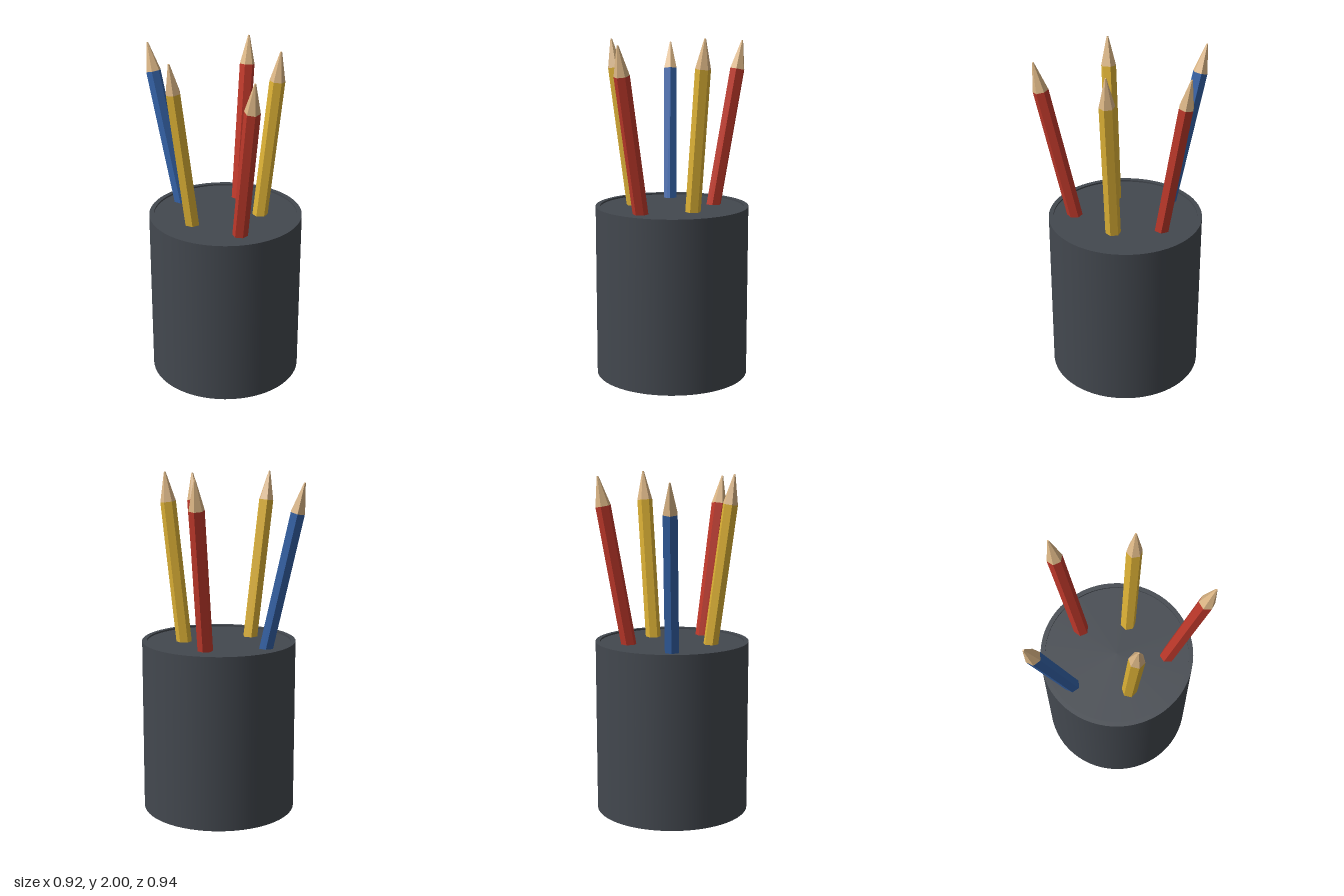
import * as THREE from 'three';

const mat = (name, color, flatShading = false) =>
  Object.assign(new THREE.MeshStandardMaterial({ color, flatShading }), { name });

function add(parent, name, geometry, material) {
  const mesh = new THREE.Mesh(geometry, material);
  mesh.name = name;
  parent.add(mesh);
  return mesh;
}

// Hexagonal pencil whose axis runs through base (at the cup rim) up to its tip
function makePencil(name, base, tip, paint, wood) {
  const radius = 0.045, coneLength = 0.17, sunk = 0.85;
  const start = new THREE.Vector3(...base);
  const end = new THREE.Vector3(...tip);
  const dir = end.clone().sub(start);
  const length = dir.length() + sunk;
  const bodyLength = length - coneLength;
  dir.normalize();

  const pencil = new THREE.Group();
  pencil.name = name;
  const body = new THREE.CylinderGeometry(radius, radius, bodyLength, 6);
  add(pencil, 'paintedBody', body.translate(0, bodyLength / 2, 0), paint);
  const cone = new THREE.CylinderGeometry(0.005, radius, coneLength, 6);
  add(pencil, 'sharpenedTip', cone.translate(0, bodyLength + coneLength / 2, 0), wood);

  // Turn one edge towards the lean, then tilt
  const lean = new THREE.Quaternion().setFromUnitVectors(new THREE.Vector3(0, 1, 0), dir);
  const turn = new THREE.Quaternion().setFromAxisAngle(new THREE.Vector3(0, 1, 0), Math.atan2(dir.x, dir.z));
  pencil.quaternion.copy(lean).multiply(turn);
  pencil.position.copy(end).addScaledVector(dir, -length);
  return pencil;
}

export function createModel() {
  const model = new THREE.Group();
  model.name = 'pencilCup';

  const charcoal = mat('charcoal', 0x43484f);
  const wood = mat('bareWood', 0xdeb887, true);
  const red = mat('redPaint', 0xc0392b, true);
  const yellow = mat('yellowPaint', 0xdfb336, true);
  const blue = mat('bluePaint', 0x3563a8, true);

  // Cup: wall, base, narrow rim and slightly sunken top
  const cup = new THREE.Group();
  cup.name = 'cup';
  cup.position.set(0.004, 0, -0.018);
  const R = 0.452, inner = 0.425, H = 1.02, topY = 1.01, N = 64;
  add(cup, 'outerWall', new THREE.CylinderGeometry(R, R, H, N, 1, true).translate(0, H / 2, 0), charcoal);
  add(cup, 'base', new THREE.CircleGeometry(R, N).rotateX(Math.PI / 2), charcoal);
  add(cup, 'rim', new THREE.RingGeometry(inner, R, N).rotateX(-Math.PI / 2).translate(0, H, 0), charcoal);
  const lip = new THREE.LatheGeometry([new THREE.Vector2(inner, H), new THREE.Vector2(inner, topY)], N);
  add(cup, 'innerLip', lip, charcoal);
  add(cup, 'top', new THREE.CircleGeometry(inner, N).rotateX(-Math.PI / 2).translate(0, topY, 0), charcoal);
  model.add(cup);

  // Pencils: name, point at the rim, tip, paint
  const pencils = [
    ['bluePencil', [-0.267, H, -0.206], [-0.457, 1.96, -0.35], blue],
    ['leftYellowPencil', [-0.19, H, 0.125], [-0.3, 1.992, 0.201], yellow],
    ['rightYellowPencil', [0.21, H, -0.016], [0.312, 2.0, -0.016], yellow],
    ['frontRedPencil', [0.09, H, 0.272], [0.16, 1.967, 0.465], red],
    ['backRedPencil', [0.085, H, -0.272], [0.139, 1.982, -0.434], red],
  ];
  for (const [name, base, tip, paint] of pencils) {
    model.add(makePencil(name, base, tip, paint, wood));
  }
  return model;
}
